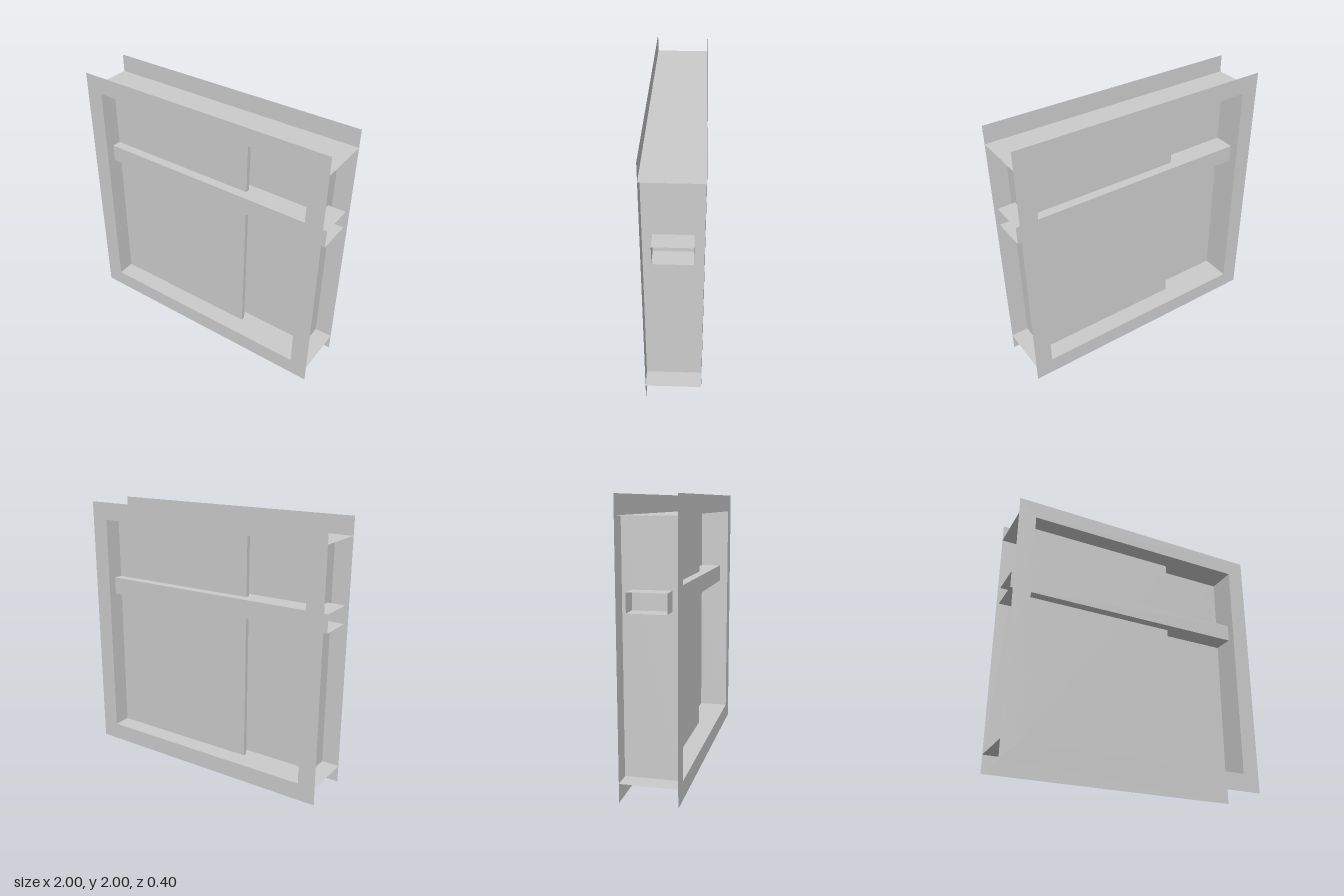
import * as THREE from 'three';

const IN = 0.867;           // half size of the opening
const LOW = 1 - IN, HIGH = 1 + IN;
const DEPTH = 0.2;          // half depth of the frame

export function createModel() {
  const model = new THREE.Group();
  const material = new THREE.MeshStandardMaterial({
    color: 0xcccccc, flatShading: true, side: THREE.DoubleSide,
  });

  function add(name, geometry, x, y, z) {
    const mesh = new THREE.Mesh(geometry, material);
    mesh.name = name;
    mesh.position.set(x, y, z);
    model.add(mesh);
    return mesh;
  }

  // Thin rectangular face plates, front and back
  const plate = new THREE.Shape([[-1, 0], [1, 0], [1, 2], [-1, 2]].map(p => new THREE.Vector2(...p)));
  plate.holes.push(new THREE.Path(
    [[-IN, LOW], [-IN, HIGH], [IN, HIGH], [IN, LOW]].map(p => new THREE.Vector2(...p))));
  const plateGeometry = new THREE.ShapeGeometry(plate);
  add('frontPlate', plateGeometry, 0, 0, DEPTH);
  add('backPlate', plateGeometry, 0, 0, -DEPTH).rotation.y = Math.PI;

  // Sill and head run the full width, jambs fit between them
  const rail = new THREE.PlaneGeometry(2, 2 * DEPTH).rotateX(-Math.PI / 2);
  add('head', rail, 0, HIGH, 0);
  add('sill', rail, 0, LOW, 0);
  const jamb = new THREE.PlaneGeometry(2 * DEPTH, 2 * IN).rotateY(Math.PI / 2);
  add('leftJamb', jamb, IN, 1, 0);
  add('rightJamb', jamb, -IN, 1, 0);

  // Hollow crossbar, open at both ends and passing through the jambs
  const barY = 1.333, barH = 0.133, barD = 0.266;
  const barFace = new THREE.PlaneGeometry(2, barH);
  const barLid = new THREE.PlaneGeometry(2, barD).rotateX(-Math.PI / 2);
  for (const s of [1, -1]) {
    add(s > 0 ? 'crossbarFront' : 'crossbarBack', barFace, 0, barY, s * barD / 2)
      .rotation.y = s > 0 ? 0 : Math.PI;
    add(s > 0 ? 'crossbarTop' : 'crossbarBottom', barLid, 0, barY + s * barH / 2, 0)
      .rotation.x = s > 0 ? 0 : Math.PI;
  }

  // Two overlapping sliding panels
  const edge = 0.327, width = IN + edge;
  const panel = new THREE.BoxGeometry(width, 2 * IN, 0.034);
  add('frontSlidingPanel', panel, edge - width / 2, 1, 0.045);
  add('backSlidingPanel', panel, width / 2 - edge, 1, -0.045);

  return model;
}
